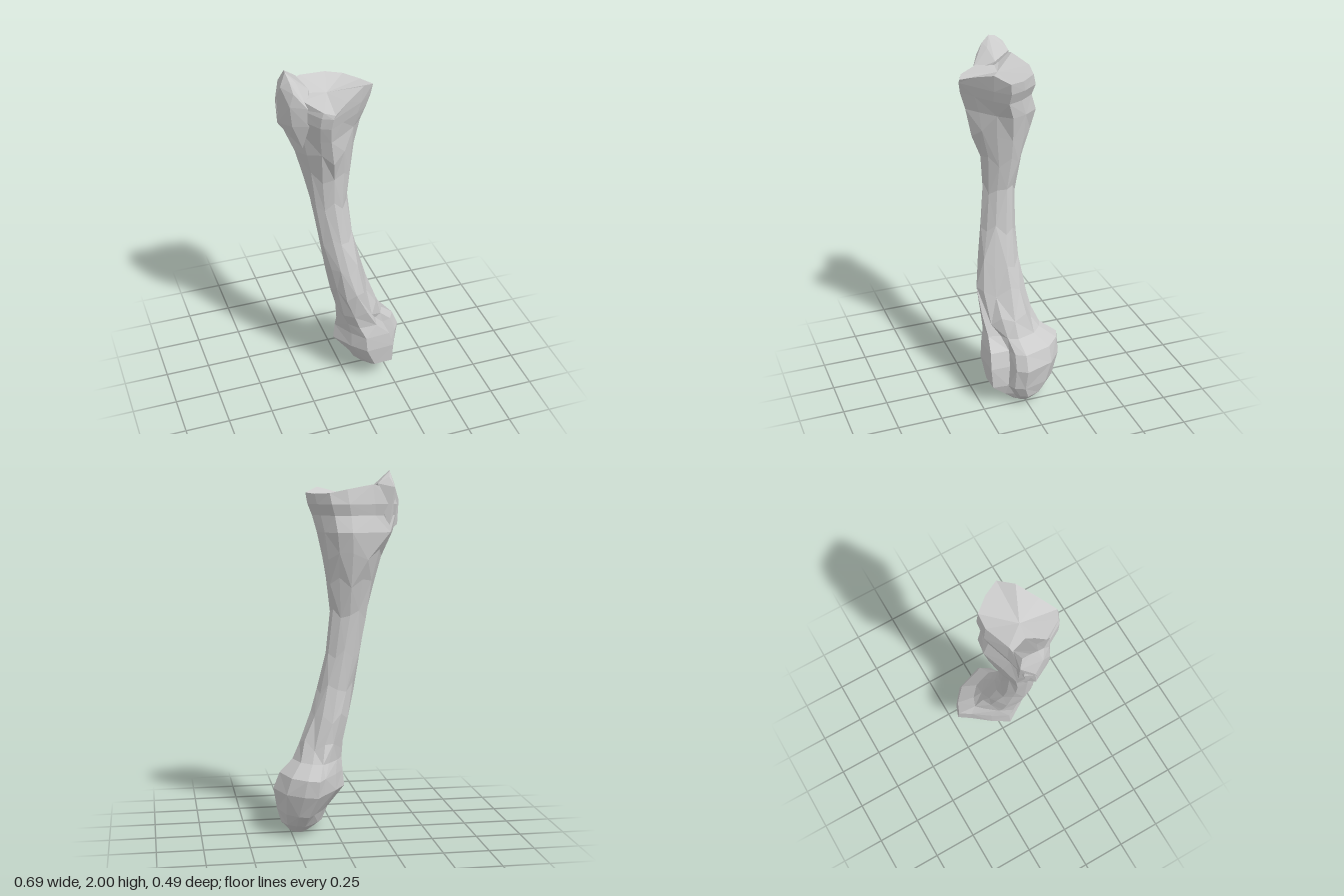
import * as THREE from 'three';
import { ConvexGeometry } from 'three/addons/geometries/ConvexGeometry.js';

const material = new THREE.MeshStandardMaterial({ color: 0xcccccc, flatShading: true });

// Cross-section outlines in a unit box (x, z), from the +x side round by the front
const KNUCKLE = [[1, .57], [.91, .69], [.76, .73], [.76, .97], [.36, .99], [.18, .82],
  [0, .57], [.15, .36], [.35, .14], [.46, 0], [.64, .06], [.86, .22]];
const SHAFT = [[1, .42], [.9, .7], [.74, .91], [.5, 1], [.27, .92], [.08, .74],
  [0, .5], [.08, .22], [.28, .06], [.52, 0], [.76, .07], [.94, .22]];
const PLATE = [[1, .48], [.85, .66], [.63, .85], [.46, 1], [.35, .93], [.2, .6],
  [0, .33], [.05, .18], [.29, .12], [.59, 0], [.78, .03], [.92, .25]];
const N = SHAFT.length;

// y, x min, x max, z min, z max, blend (-1 knuckle, 0 shaft, 1 plate)
const RINGS = [
  [.01, .155, .255, -.05, .06, -.5],
  [.06, .075, .305, -.12, .12, -.7],
  [.13, .04, .325, -.19, .205, -.9],
  [.25, -.055, .345, -.24, .218, -1],
  [.34, -.045, .31, -.235, .212, -1],
  [.41, -.043, .235, -.14, .195, -.75],
  [.5, -.055, .195, -.095, .205, -.3],
  [.65, -.085, .13, -.075, .21, 0],
  [.81, -.115, .095, -.045, .19, 0],
  [1, -.15, .05, -.04, .155, 0],
  [1.22, -.185, .025, -.045, .13, 0],
  [1.4, -.215, .05, -.085, .14, .1],
  [1.55, -.255, .068, -.13, .185, .4],
  [1.67, -.31, .098, -.152, .21, .9],
  [1.76, -.34, .12, -.122, .235, 1],
  [1.82, -.345, .145, -.138, .245, 1],
];
// Height of each corner of the joint plate's rim
const RIM = [1.88, 1.91, 1.875, 1.84, 1.85, 1.87, 1.88, 1.9, 1.925, 1.9, 1.88, 1.875];

function ringPoints([y, x0, x1, z0, z1, k]) {
  const end = k < 0 ? KNUCKLE : PLATE;
  return SHAFT.map(([u, v], i) => new THREE.Vector3(
    THREE.MathUtils.lerp(x0, x1, THREE.MathUtils.lerp(u, end[i][0], Math.abs(k))), y,
    THREE.MathUtils.lerp(z0, z1, THREE.MathUtils.lerp(v, end[i][1], Math.abs(k)))));
}

function boneGeometry() {
  const rings = RINGS.map(ringPoints);
  // Small uneven shifts in height break up the regular bands
  rings.slice(6, 13).forEach((ring, j) => ring.forEach((p, i) => {
    p.y += .03 * Math.sin(i * 2.4 + j * 1.7);
  }));
  const rim = ringPoints([0, -.335, .155, -.122, .243, 1]);
  rim.forEach((p, i) => { p.y = RIM[i]; });
  rings.push(rim);

  const pos = [];
  const tri = (...pts) => pts.forEach(p => pos.push(p.x, p.y, p.z));
  for (let j = 0; j < rings.length - 1; j++) {
    for (let i = 0; i < N; i++) {
      const n = (i + 1) % N;
      const a = rings[j][i], b = rings[j][n], c = rings[j + 1][i], d = rings[j + 1][n];
      // Alternate the diagonals for an irregular faceted look
      if ((i + j) % 2) { tri(a, c, b); tri(b, c, d); } else { tri(a, c, d); tri(a, d, b); }
    }
  }
  // Closed lower end and dished joint surface on top
  const base = new THREE.Vector3(.2, 0, 0), dish = new THREE.Vector3(-.09, 1.865, .04);
  for (let i = 0; i < N; i++) {
    const n = (i + 1) % N;
    tri(base, rings[0][i], rings[0][n]);
    tri(dish, rim[n], rim[i]);
  }
  const geo = new THREE.BufferGeometry();
  geo.setAttribute('position', new THREE.Float32BufferAttribute(pos, 3));
  geo.computeVertexNormals();
  return geo;
}

export function createModel() {
  const group = new THREE.Group();
  group.name = 'bone';
  const shaft = new THREE.Mesh(boneGeometry(), material);
  shaft.name = 'shaftAndJointEnds';

  // Raised knob on the outer side of the upper end, sloping down towards the front
  const knobPoints = [
    [-.3, 2, .015], [-.295, 1.995, -.02], [-.29, 1.965, .055], [-.285, 1.965, -.06],
    [-.33, 1.93, .03], [-.31, 1.91, -.085], [-.25, 1.945, .04], [-.22, 1.93, -.07],
    [-.28, 1.91, .09], [-.345, 1.84, -.02], [-.3, 1.84, .088], [-.22, 1.84, .135],
    [-.215, 1.74, .14], [-.29, 1.73, .09], [-.34, 1.71, -.01], [-.29, 1.65, .05],
    [-.24, 1.6, .1], [-.28, 1.67, -.075], [-.18, 1.89, .02]];
  const knob = new THREE.Mesh(
    new ConvexGeometry(knobPoints.map(p => new THREE.Vector3(...p))), material);
  knob.name = 'upperKnob';

  group.add(shaft, knob);
  return group;
}
